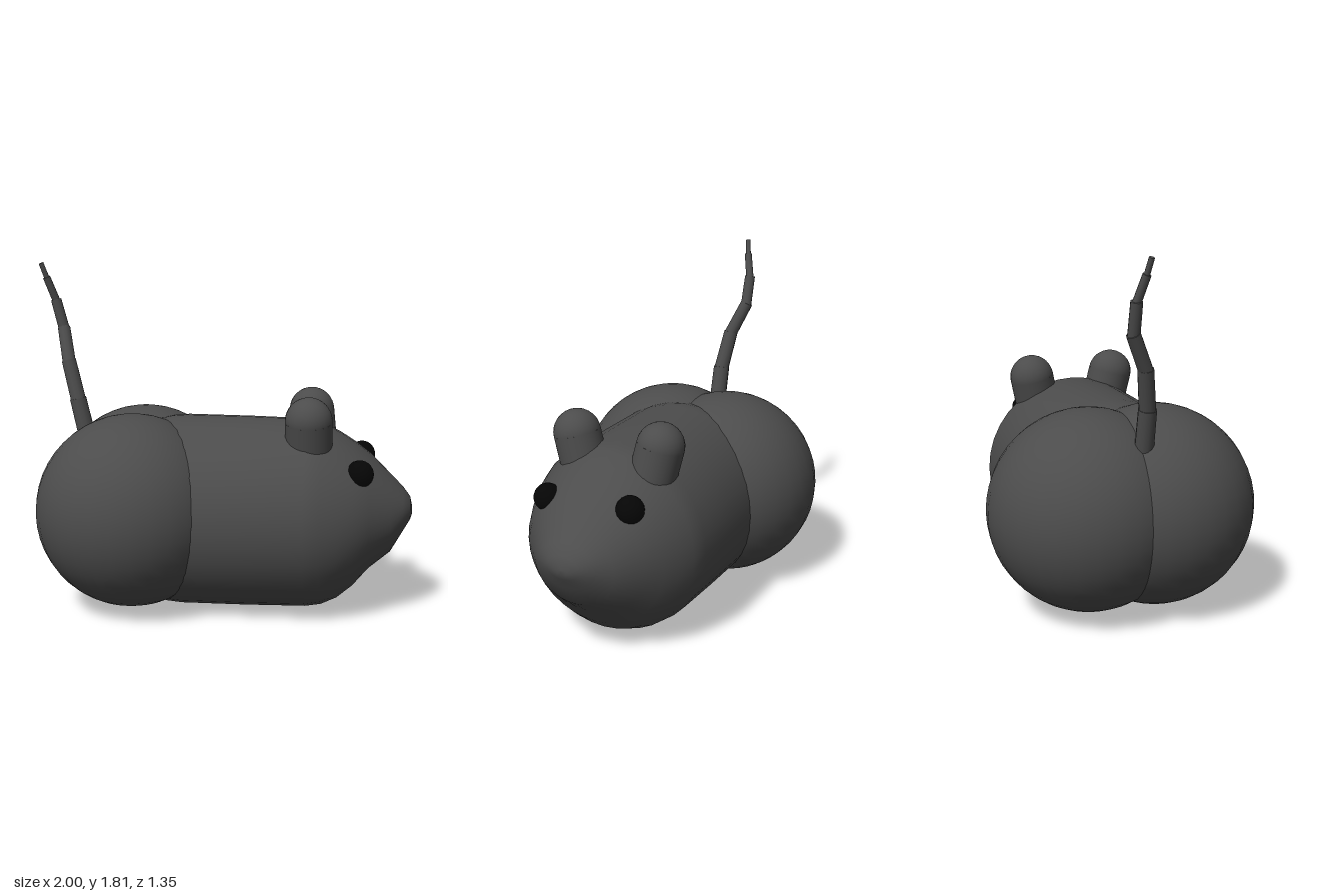
import * as THREE from 'three';

const fur = new THREE.MeshStandardMaterial({ color: 0x4c4c4c });
const black = new THREE.MeshStandardMaterial({ color: 0x060606 });
const V = (x, y, z) => new THREE.Vector3(x, y, z);

function part(name, geometry, material, position) {
  const mesh = new THREE.Mesh(geometry, material);
  mesh.name = name;
  if (position) mesh.position.copy(position);
  return mesh;
}

// Turn a y-aligned mesh to run from a to b
function along(mesh, a, b) {
  mesh.position.copy(a).add(b).multiplyScalar(0.5);
  mesh.quaternion.setFromUnitVectors(V(0, 1, 0), b.clone().sub(a).normalize());
  return mesh;
}

// Closed skin through elliptical sections [x, top, bottom, half width]
function loft(sections, sides, z) {
  const pos = [], index = [];
  for (const [x, top, bottom, w] of sections) {
    for (let j = 0; j < sides; j++) {
      const a = (j / sides) * Math.PI * 2;
      pos.push(x, (top + bottom) / 2 + Math.cos(a) * (top - bottom) / 2, z + Math.sin(a) * w);
    }
  }
  for (let i = 0; i < sections.length - 1; i++) {
    for (let j = 0; j < sides; j++) {
      const k = (j + 1) % sides;
      const a = i * sides + j, b = i * sides + k, c = a + sides, d = b + sides;
      index.push(a, b, c, b, d, c);
    }
  }
  const g = new THREE.BufferGeometry();
  g.setAttribute('position', new THREE.Float32BufferAttribute(pos, 3));
  g.setIndex(index);
  g.computeVertexNormals();
  return g;
}

export function createModel() {
  const model = new THREE.Group();
  model.name = 'mouse';

  // Body: round back end, straight trunk, tapered head
  const sections = [];
  for (let i = 0; i <= 10; i++) {
    const a = (i / 10) * Math.PI / 2, r = 0.505 * Math.max(Math.sin(a), 0.002);
    sections.push([-0.19 - 0.5 * Math.cos(a), 0.505 + r, 0.505 - r, r * 0.99]);
  }
  sections.push(
    [0.15, 1.007, 0.004, 0.497],
    [0.46, 1.0, 0.012, 0.49],
    [0.54, 0.975, 0.025, 0.465],
    [0.62, 0.935, 0.062, 0.43],
    [0.7, 0.885, 0.13, 0.385],
    [0.78, 0.825, 0.225, 0.325],
    [0.89, 0.715, 0.315, 0.22],
    [0.95, 0.655, 0.42, 0.155],
    [0.988, 0.605, 0.485, 0.09],
    [0.998, 0.56, 0.51, 0.03],
    [1.0, 0.536, 0.534, 0.001]
  );
  model.add(part('body', loft(sections, 36, 0.01), fur));

  // Haunches
  for (const s of [-1, 1]) {
    model.add(part(s > 0 ? 'leftHaunch' : 'rightHaunch',
      new THREE.SphereGeometry(0.505, 32, 24), fur, V(-0.455, 0.525, s * 0.17)));
  }

  // Ears: domed stubs leaning outward
  const ears = [
    ['leftEar', V(0.47, 1.025, 0.235), V(0.47, 0.8, 0.18)],
    ['rightEar', V(0.455, 1.02, -0.228), V(0.48, 0.8, -0.18)]
  ];
  for (const [name, top, base] of ears) {
    const ear = new THREE.Group();
    ear.name = name;
    const stub = new THREE.CylinderGeometry(0.12, 0.12, top.distanceTo(base), 24);
    ear.add(along(part('earStub', stub, fur), base, top));
    ear.add(part('earDome', new THREE.SphereGeometry(0.12, 24, 16), fur, top));
    model.add(ear);
  }

  // Eyes
  const eye = new THREE.SphereGeometry(0.07, 20, 14);
  model.add(part('leftEye', eye, black, V(0.73, 0.765, 0.25)));
  model.add(part('rightEye', eye, black, V(0.73, 0.785, -0.21)));

  // Tail: jointed tubes, each thinner than the last
  const joints = [
    V(-0.72, 0.82, 0.02), V(-0.78, 1.08, 0.018), V(-0.835, 1.28, -0.012),
    V(-0.88, 1.45, -0.086), V(-0.92, 1.6, -0.088), V(-0.96, 1.72, -0.058),
    V(-0.985, 1.795, -0.045)
  ];
  const radii = [0.047, 0.041, 0.036, 0.03, 0.021, 0.014];
  const tail = new THREE.Group();
  tail.name = 'tail';
  radii.forEach((r, i) => {
    const a = joints[i], b = joints[i + 1];
    const tube = new THREE.CylinderGeometry(r * 0.95, r, a.distanceTo(b) + 0.015, 12);
    tail.add(along(part('tailSegment', tube, fur), a, b));
  });
  model.add(tail);

  return model;
}
